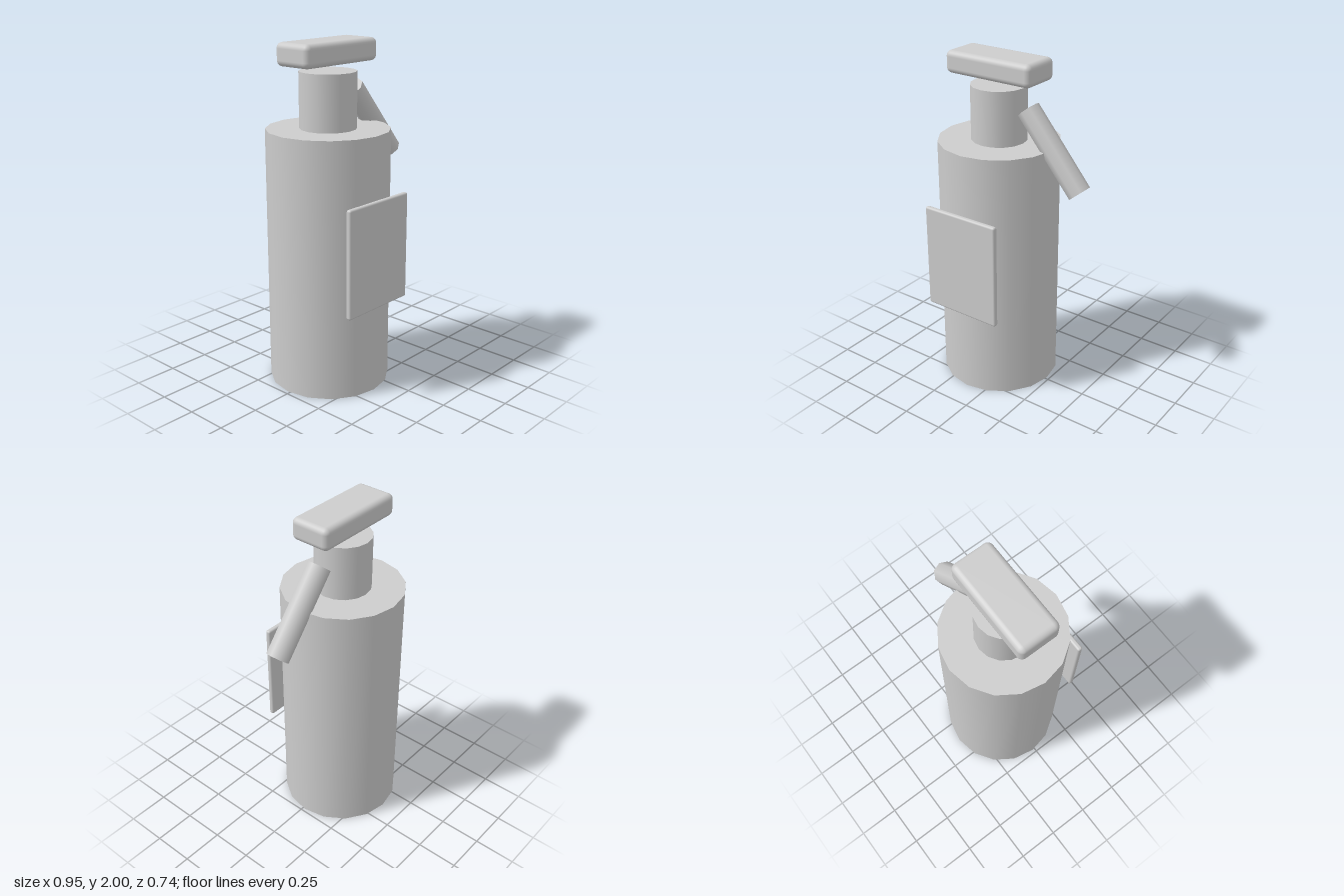
import * as THREE from 'three';
import { RoundedBoxGeometry } from 'three/addons/geometries/RoundedBoxGeometry.js';

export function createModel() {
  const model = new THREE.Group();
  const grey = new THREE.MeshStandardMaterial({ color: 0xcccccc });
  grey.name = 'plainGrey';

  const cx = -0.123, cz = -0.016; // axis of the bottle

  function add(name, geometry, x, y, z) {
    const mesh = new THREE.Mesh(geometry, grey);
    mesh.name = name;
    mesh.position.set(x, y, z);
    model.add(mesh);
    return mesh;
  }

  // Bottle body and neck
  add('body', new THREE.CylinderGeometry(0.355, 0.355, 1.51, 16), cx, 0.755, cz);
  add('neck', new THREE.CylinderGeometry(0.163, 0.163, 0.32, 16), cx, 1.67, cz);

  // Handle floating above the neck
  add('handle', new RoundedBoxGeometry(0.574, 0.13, 0.245, 3, 0.033), cx, 1.935, cz);

  // Slanted nozzle on the model's left
  const nozzle = add('nozzle', new THREE.CylinderGeometry(0.067, 0.067, 0.541, 8), 0.25, 1.511, cz);
  nozzle.rotation.z = 0.695;

  // Label plate in front of the body
  add('label', new RoundedBoxGeometry(0.492, 0.63, 0.032, 3, 0.012), cx, 0.84, 0.354);

  return model;
}
